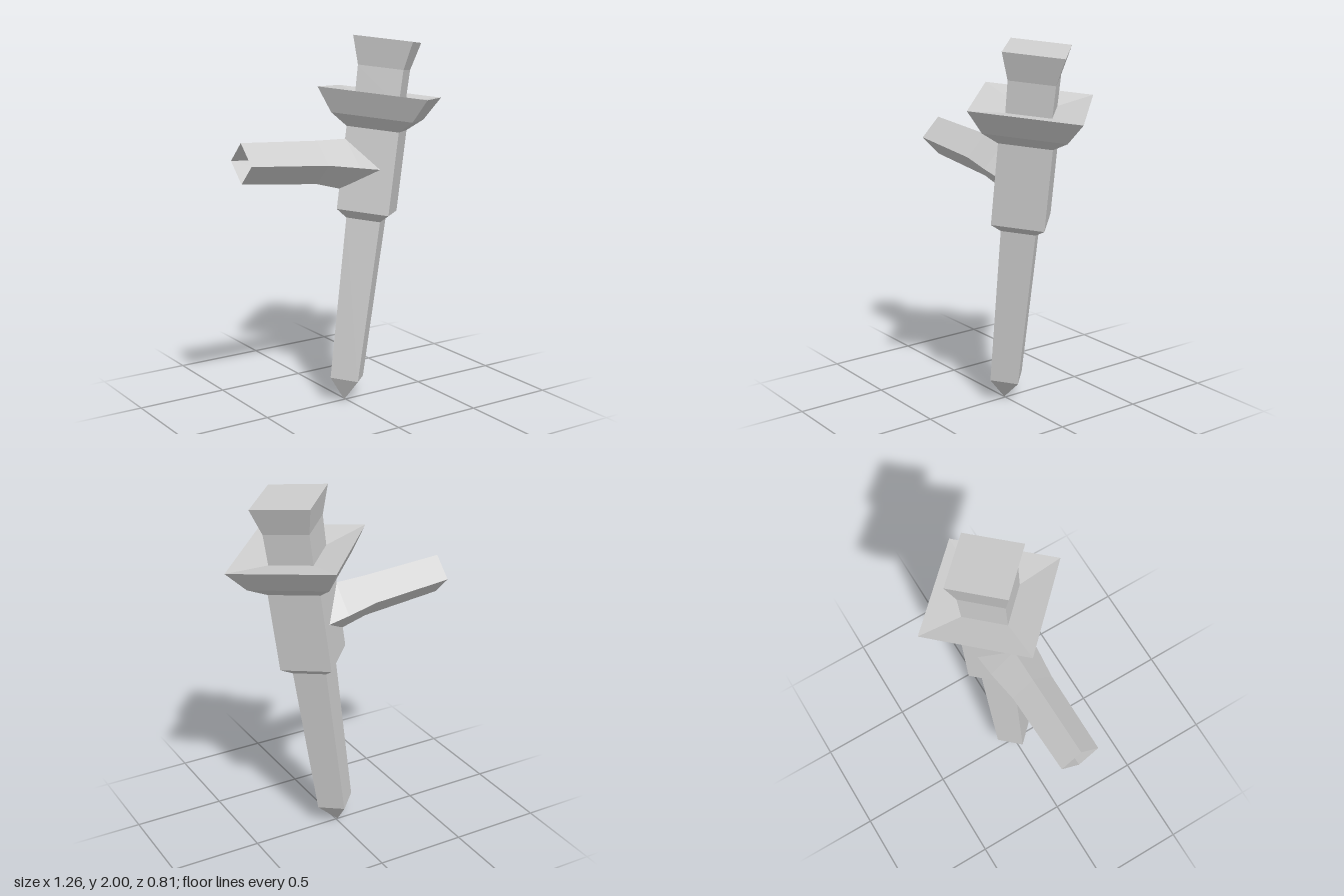
import * as THREE from 'three';

const stone = new THREE.MeshStandardMaterial({ name: 'paleGrey', color: 0xcccccc, side: THREE.DoubleSide });

// Four-sided lathe with corners on the x and z axes; profile is [radius, height], bottom to top
const diamondLathe = (profile) =>
  new THREE.LatheGeometry(profile.map(([r, y]) => new THREE.Vector2(r, y)), 4);

function addFaceted(parent, name, geometry) {
  const flat = geometry.toNonIndexed();
  flat.computeVertexNormals();
  const mesh = new THREE.Mesh(flat, stone);
  mesh.name = name;
  parent.add(mesh);
}

export function createModel() {
  const model = new THREE.Group();
  model.name = 'wallTorch';

  // Leaning torch, built upright and tilted as one
  const torch = new THREE.Group();
  torch.name = 'torch';
  torch.position.set(-0.01, 0.003, 0);
  torch.rotation.z = -0.141;
  model.add(torch);

  // Pointed handle
  addFaceted(torch, 'handle', diamondLathe([[0, 0], [0.108, 0.13], [0.13, 1.02]]));
  // Thick collar above the handle
  addFaceted(torch, 'collar', diamondLathe([[0.13, 1.02], [0.198, 1.065], [0.198, 1.51]]));
  // Flared bowl with a shallow dished top
  addFaceted(torch, 'bowl', diamondLathe([[0.198, 1.51], [0.305, 1.575], [0.407, 1.702], [0.16, 1.665], [0, 1.665]]));
  // Flared head with a flat top
  addFaceted(torch, 'head', diamondLathe([[0.168, 1.65], [0.172, 1.835], [0.224, 1.985], [0, 1.985]]));

  // Wall bracket: [x, centre height, radius], with an open outer end
  const rings = [[-0.63, 1.385, 0.106], [-0.18, 1.348, 0.115], [0, 1.32, 0.138], [0.14, 1.297, 0.147]];
  const bracket = diamondLathe(rings.map(([x, , r]) => [r, x]));
  bracket.rotateZ(-Math.PI / 2);
  const pos = bracket.attributes.position;
  for (let i = 0; i < pos.count; i++) pos.setY(i, pos.getY(i) + rings[i % rings.length][1]);
  addFaceted(model, 'bracket', bracket);

  return model;
}
